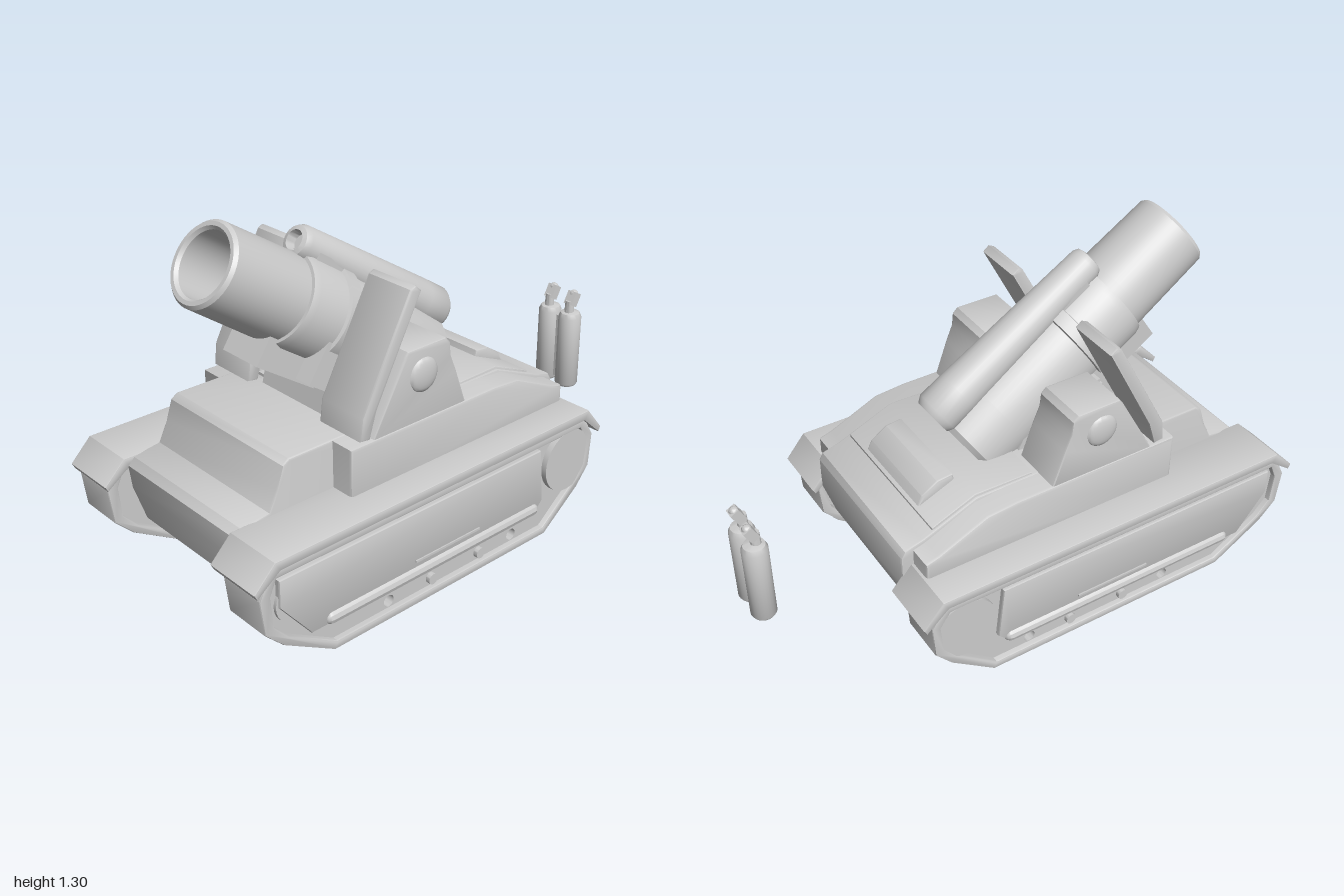
import * as THREE from 'three';
import { toCreasedNormals } from 'three/addons/utils/BufferGeometryUtils.js';

const material = new THREE.MeshStandardMaterial({ color: 0xcccccc });
const V = (list) => list.map(([a, b]) => new THREE.Vector2(a, b));

function add(parent, name, geometry, x = 0, y = 0, z = 0) {
  const mesh = new THREE.Mesh(toCreasedNormals(geometry, 0.6), material);
  mesh.name = name;
  mesh.position.set(x, y, z);
  parent.add(mesh);
  return mesh;
}

// Side profile of [z, y] points, extruded across x and centred on x = 0
function slab(points, width, holes = [], bevel = 0) {
  const shape = new THREE.Shape(V(points));
  shape.holes = holes;
  const geometry = new THREE.ExtrudeGeometry(shape, {
    depth: width - 2 * bevel, bevelEnabled: bevel > 0,
    bevelSize: bevel, bevelOffset: -bevel, bevelThickness: bevel, bevelSegments: 2,
  });
  geometry.translate(0, 0, bevel - width / 2);
  return geometry.rotateY(-Math.PI / 2);
}

const disc = (r, width) => new THREE.CylinderGeometry(r, r, width, 28).rotateZ(Math.PI / 2);

function roundHole(z, y, r) {
  const path = new THREE.Path();
  path.absarc(z, y, r, 0, Math.PI * 2, true);
  return path;
}

function createTrack(side) {
  const track = new THREE.Group();
  track.name = side > 0 ? 'leftTrack' : 'rightTrack';
  const outer = [[0.69, 0], [0.89, 0.12], [0.96, 0.19], [0.975, 0.32], [0.93, 0.41],
    [-0.5, 0.41], [-0.55, 0.33], [-0.54, 0.2], [-0.48, 0.13], [-0.31, 0]];
  const inner = [[0.68, 0.03], [0.87, 0.145], [0.925, 0.205], [0.935, 0.32], [0.91, 0.375],
    [-0.48, 0.375], [-0.515, 0.32], [-0.505, 0.215], [-0.455, 0.155], [-0.30, 0.03]];
  const x = side * 0.423;
  add(track, 'trackBelt', slab(outer, 0.185, [new THREE.Path(V(inner))], 0.006), x);
  add(track, 'trackSidePlate', slab(inner, 0.14, [0.44, -0.15].map((z) => roundHole(z, 0.055, 0.022))), x);
  // Raised outer panel with a lower lip
  add(track, 'sidePanel', slab([[0.78, 0.11], [-0.25, 0.11], [-0.29, 0.15], [-0.27, 0.36], [0.9, 0.36],
    [0.9, 0.26]], 0.03, [], 0.008), side * 0.5);
  add(track, 'panelLip', new THREE.CapsuleGeometry(0.025, 0.94, 4, 10).rotateX(Math.PI / 2), side * 0.505, 0.13, 0.23);
  add(track, 'panelRib', new THREE.BoxGeometry(0.01, 0.008, 0.3), side * 0.515, 0.175, 0.19);
  add(track, 'rearWheel', disc(0.12, 0.03), side * 0.5, 0.265, -0.42);
  add(track, 'frontWheel', disc(0.08, 0.03), side * 0.49, 0.26, 0.83);
  for (const z of [0.25, 0.02]) add(track, 'wheelHub', disc(0.02, 0.03), side * 0.495, 0.06, z);
  // Mudguard with drooping ends
  add(track, 'fender', slab([[0.99, 0.34], [1.0, 0.36], [0.92, 0.44], [-0.51, 0.44], [-0.585, 0.35],
    [-0.575, 0.33], [-0.49, 0.405], [0.9, 0.405]], 0.225, [], 0.005), side * 0.4125);
  return track;
}

function createHull() {
  const hull = new THREE.Group();
  hull.name = 'hull';
  add(hull, 'lowerHull', slab([[0.74, 0.1], [0.85, 0.18], [0.895, 0.32], [0.905, 0.41], [0.88, 0.435],
    [0.775, 0.45], [0.74, 0.52], [0.715, 0.595], [0.69, 0.612], [-0.25, 0.612], [-0.46, 0.525], [-0.53, 0.505],
    [-0.545, 0.48], [-0.545, 0.36], [-0.5, 0.22], [-0.35, 0.1]], 0.62, [], 0.008));
  add(hull, 'deck', slab([[0.515, 0.4], [0.515, 0.61], [-0.14, 0.61], [-0.26, 0.6], [-0.45, 0.515],
    [-0.5, 0.5], [-0.5, 0.4]], 0.8, [], 0.012));
  add(hull, 'engineCover', slab([[-0.02, 0.59], [-0.02, 0.617], [-0.25, 0.622], [-0.42, 0.55],
    [-0.42, 0.52]], 0.6, [], 0.006));
  add(hull, 'engineHatch', slab([[-0.26, 0.6], [-0.27, 0.637], [-0.33, 0.63], [-0.39, 0.59], [-0.41, 0.55]],
    0.37, [], 0.008));
  return hull;
}

function createMount(side) {
  const mount = new THREE.Group();
  mount.name = side > 0 ? 'leftGunMount' : 'rightGunMount';
  add(mount, 'mountBlock', slab([[0.42, 0.6], [0.28, 0.85], [0.265, 0.87], [0.095, 0.87], [0.075, 0.85],
    [0.07, 0.8], [0.045, 0.74], [-0.005, 0.6]], 0.2, [], 0.008), side * 0.293);
  add(mount, 'trunnionBoss', new THREE.SphereGeometry(0.062, 24, 12).scale(0.3, 1, 1), side * 0.39, 0.77, 0.195);
  add(mount, 'slopedShield', slab([[0.43, 0.615], [0.47, 0.62], [0.46, 0.7], [0.255, 1.08], [0.235, 1.09],
    [0.21, 1.07], [0.4, 0.71]], 0.205, [], 0.008), side * 0.293);
  // Toothed strip beside the cradle
  for (let i = 0; i < 9; i++) {
    add(mount, 'elevationTooth', new THREE.BoxGeometry(0.04, 0.011, 0.04), side * 0.18, 0.635 + i * 0.022, 0.4 - i * 0.012);
  }
  return mount;
}

// Barrel assembly: local y runs to the muzzle, local -z is the upper side
function createGun() {
  const gun = new THREE.Group();
  gun.name = 'gun';
  gun.position.set(0, 1.19, 0.76);
  gun.rotation.x = 0.982;
  add(gun, 'barrel', new THREE.LatheGeometry(V([[0, -0.6], [0.155, -0.6], [0.153, -0.3], [0.146, -0.012],
    [0.136, 0], [0.122, 0], [0.113, -0.012], [0.11, -0.55], [0, -0.55]]), 48));
  add(gun, 'barrelSleeve', new THREE.LatheGeometry(V([[0, -1.07], [0.15, -1.07], [0.168, -1.05], [0.175, -0.9],
    [0.172, -0.36], [0.165, -0.335], [0, -0.335]]), 48));
  add(gun, 'sleeveCollar', new THREE.LatheGeometry(V([[0.15, -0.56], [0.185, -0.55], [0.185, -0.5],
    [0.15, -0.49]]), 48));
  // Recoil tube above the barrel, with an open nozzle in front
  const tube = new THREE.LatheGeometry(V([[0, -1.075], [0.07, -1.075], [0.085, -1.05], [0.083, -0.95],
    [0.062, -0.33], [0.052, -0.31], [0.036, -0.305], [0.03, -0.34], [0, -0.34]]), 28);
  add(gun, 'recoilTube', tube, 0, 0, -0.188);
  add(gun, 'tubeBed', new THREE.BoxGeometry(0.13, 0.68, 0.09), 0, -0.715, -0.14);
  // Cradle under the barrel
  add(gun, 'cradle', new THREE.BoxGeometry(0.18, 0.55, 0.13), 0, -0.575, 0.165);
  for (const side of [-1, 1]) {
    add(gun, 'cradleCheek', new THREE.BoxGeometry(0.07, 0.42, 0.16), side * 0.125, -0.69, 0.14);
  }
  return gun;
}

function createCanisters() {
  const canisters = new THREE.Group();
  canisters.name = 'canisters';
  for (const x of [-0.052, 0.052]) {
    add(canisters, 'canister', new THREE.LatheGeometry(V([[0, 0.23], [0.04, 0.23], [0.046, 0.24], [0.046, 0.53],
      [0.038, 0.548], [0.015, 0.555], [0, 0.555]]), 24), x, 0, -0.952);
    add(canisters, 'valveStem', new THREE.CylinderGeometry(0.017, 0.02, 0.06, 12), x, 0.57, -0.945);
    const handle = add(canisters, 'valveHandle', new THREE.BoxGeometry(0.04, 0.055, 0.035), x, 0.604, -0.96);
    handle.rotation.x = -0.5;
    add(canisters, 'valveKnob', new THREE.SphereGeometry(0.018, 12, 8), x, 0.622, -0.968);
  }
  add(canisters, 'canisterBracket', new THREE.BoxGeometry(0.05, 0.27, 0.02), 0, 0.385, -0.95);
  return canisters;
}

export function createModel() {
  const model = new THREE.Group();
  model.name = 'mortarCarrier';
  model.add(createHull(), createGun(), createCanisters());
  for (const side of [-1, 1]) model.add(createTrack(side), createMount(side));
  add(model, 'gunPedestal', slab([[0.43, 0.6], [0.4, 0.72], [0.3, 0.8], [0.08, 0.76], [0, 0.6]], 0.34));
  return model;
}
